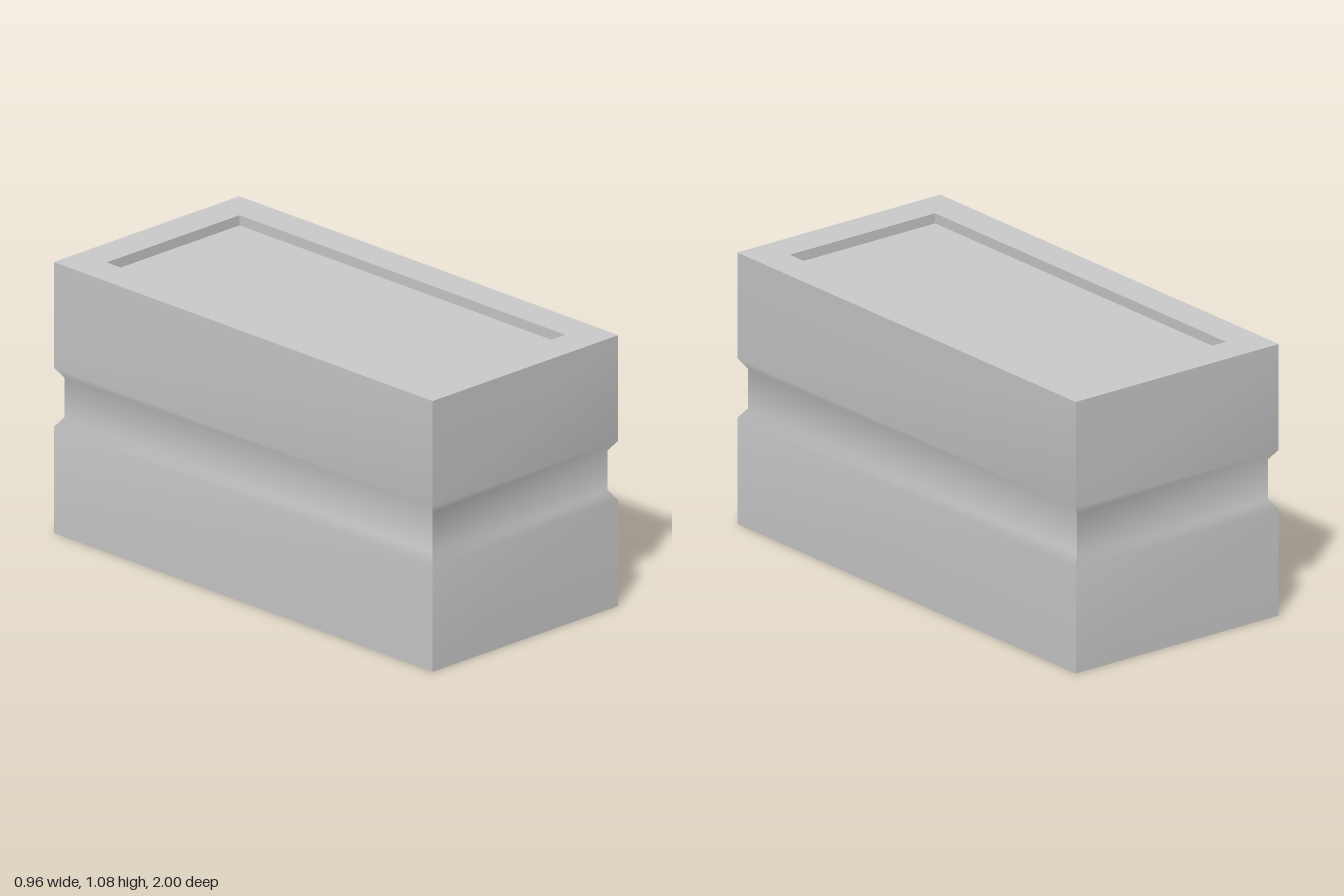
import * as THREE from 'three';

// Four walls swept through rows of [half width, half depth, height]; smooth along each wall, sharp at corners
function fourWalls(rows) {
  const corners = [[-1, 1], [1, 1], [1, -1], [-1, -1]];
  const positions = [], indices = [];
  corners.forEach((a, side) => {
    const b = corners[(side + 1) % 4];
    const start = side * rows.length * 2;
    rows.forEach(([hx, hz, y], i) => {
      positions.push(a[0] * hx, y, a[1] * hz, b[0] * hx, y, b[1] * hz);
      if (i === rows.length - 1) return;
      const k = start + i * 2;
      indices.push(k, k + 1, k + 3, k, k + 3, k + 2);
    });
  });
  const geometry = new THREE.BufferGeometry();
  geometry.setAttribute('position', new THREE.Float32BufferAttribute(positions, 3));
  geometry.setIndex(indices);
  geometry.computeVertexNormals();
  return geometry;
}

export function createModel() {
  const group = new THREE.Group();
  const stone = new THREE.MeshStandardMaterial({ color: 0xcccccc });
  stone.name = 'stoneGrey';

  const W = 0.482, D = 1, H = 1.075, inset = 0.028;
  const recessW = 0.345, recessD = 0.86, recessY = H - 0.04;

  const add = (name, geometry) => {
    const mesh = new THREE.Mesh(geometry, stone);
    mesh.name = name;
    group.add(mesh);
    return mesh;
  };

  // Outer walls with the groove running all the way round
  add('groovedWalls', fourWalls([
    [W, D, 0],
    [W, D, 0.42],
    [W - inset, D - inset, 0.46],
    [W - inset, D - inset, 0.617],
    [W, D, 0.656],
    [W, D, H],
  ]));

  // Flat rim and the shallow recess in the top
  add('topRim', fourWalls([[W, D, H], [recessW, recessD, H]]));
  add('recessWalls', fourWalls([[recessW, recessD, H], [recessW, recessD, recessY]]));
  add('recessFloor', new THREE.PlaneGeometry(recessW * 2, recessD * 2).rotateX(-Math.PI / 2)).position.y = recessY;

  // Underside
  add('underside', new THREE.PlaneGeometry(W * 2, D * 2).rotateX(Math.PI / 2));

  return group;
}
